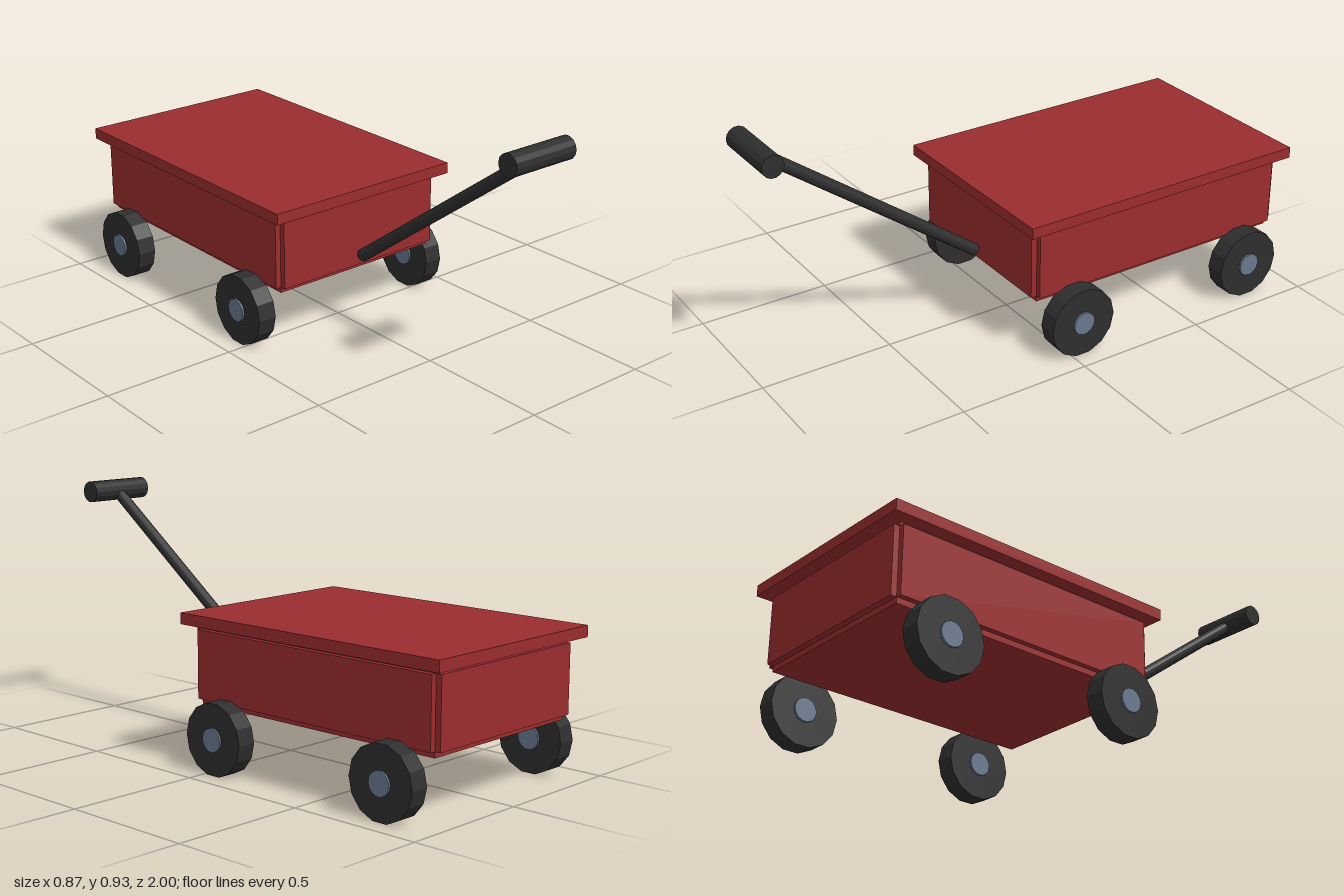
import * as THREE from 'three';

const red = new THREE.MeshStandardMaterial({ name: 'redPaint', color: 0x9b2d2f, flatShading: true });
const black = new THREE.MeshStandardMaterial({ name: 'blackRubber', color: 0x2e2e2e, flatShading: true });
const steel = new THREE.MeshStandardMaterial({ name: 'greySteel', color: 0x69788e, flatShading: true });
const SIDES = 14;

function add(parent, name, geometry, material, x = 0, y = 0, z = 0) {
  const mesh = new THREE.Mesh(geometry, material);
  mesh.name = name;
  mesh.position.set(x, y, z);
  parent.add(mesh);
  return mesh;
}

// Box given by its lower and upper bounds
function addBox(parent, name, [x0, y0, z0], [x1, y1, z1]) {
  return add(parent, name, new THREE.BoxGeometry(x1 - x0, y1 - y0, z1 - z0), red,
    (x0 + x1) / 2, (y0 + y1) / 2, (z0 + z1) / 2);
}

// Cylinder lying along x, with a corner pointing straight down
function axleCylinder(radius, length) {
  return new THREE.CylinderGeometry(radius, radius, length, SIDES)
    .rotateX(Math.PI / 2).rotateY(Math.PI / 2).rotateX(Math.PI / SIDES * 7);
}

// Cylinder running between two points
function addRod(parent, name, a, b, radius) {
  const rod = add(parent, name, new THREE.CylinderGeometry(radius, radius, a.distanceTo(b), SIDES), black);
  rod.position.copy(a).add(b).multiplyScalar(0.5);
  rod.quaternion.setFromUnitVectors(new THREE.Vector3(0, 1, 0), b.clone().sub(a).normalize());
}

function addWheel(parent, name, x, z) {
  const wheel = new THREE.Group();
  wheel.name = name;
  wheel.position.set(x, 0.131, z);
  add(wheel, 'tyre', axleCylinder(0.131, 0.071), black);
  add(wheel, 'hub', axleCylinder(0.043, 0.086), steel);
  parent.add(wheel);
}

export function createModel() {
  const wagon = new THREE.Group();
  wagon.name = 'wagon';

  // Body with raised panels and an overhanging top
  addBox(wagon, 'body', [-0.342, 0.222, -0.946], [0.342, 0.506, 0.1]);
  addBox(wagon, 'top', [-0.394, 0.506, -1], [0.394, 0.547, 0.153]);
  addBox(wagon, 'frontPanel', [-0.342, 0.243, 0.1], [0.342, 0.49, 0.122]);
  addBox(wagon, 'backPanel', [-0.342, 0.243, -0.968], [0.342, 0.49, -0.946]);
  addBox(wagon, 'leftPanel', [0.342, 0.243, -0.946], [0.363, 0.49, 0.1]);
  addBox(wagon, 'rightPanel', [-0.363, 0.243, -0.946], [-0.342, 0.49, 0.1]);

  // Wheels
  for (const [side, x] of [['Left', 0.394], ['Right', -0.394]]) {
    addWheel(wagon, `front${side}Wheel`, x, -0.042);
    addWheel(wagon, `back${side}Wheel`, x, -0.8);
  }

  // Pull handle
  const handle = new THREE.Group();
  handle.name = 'handle';
  addRod(handle, 'shaft', new THREE.Vector3(0, 0.282, 0.138), new THREE.Vector3(0, 0.89, 0.96), 0.023);
  add(handle, 'grip', axleCylinder(0.0405, 0.262), black, 0, 0.89, 0.96);
  wagon.add(handle);

  return wagon;
}
